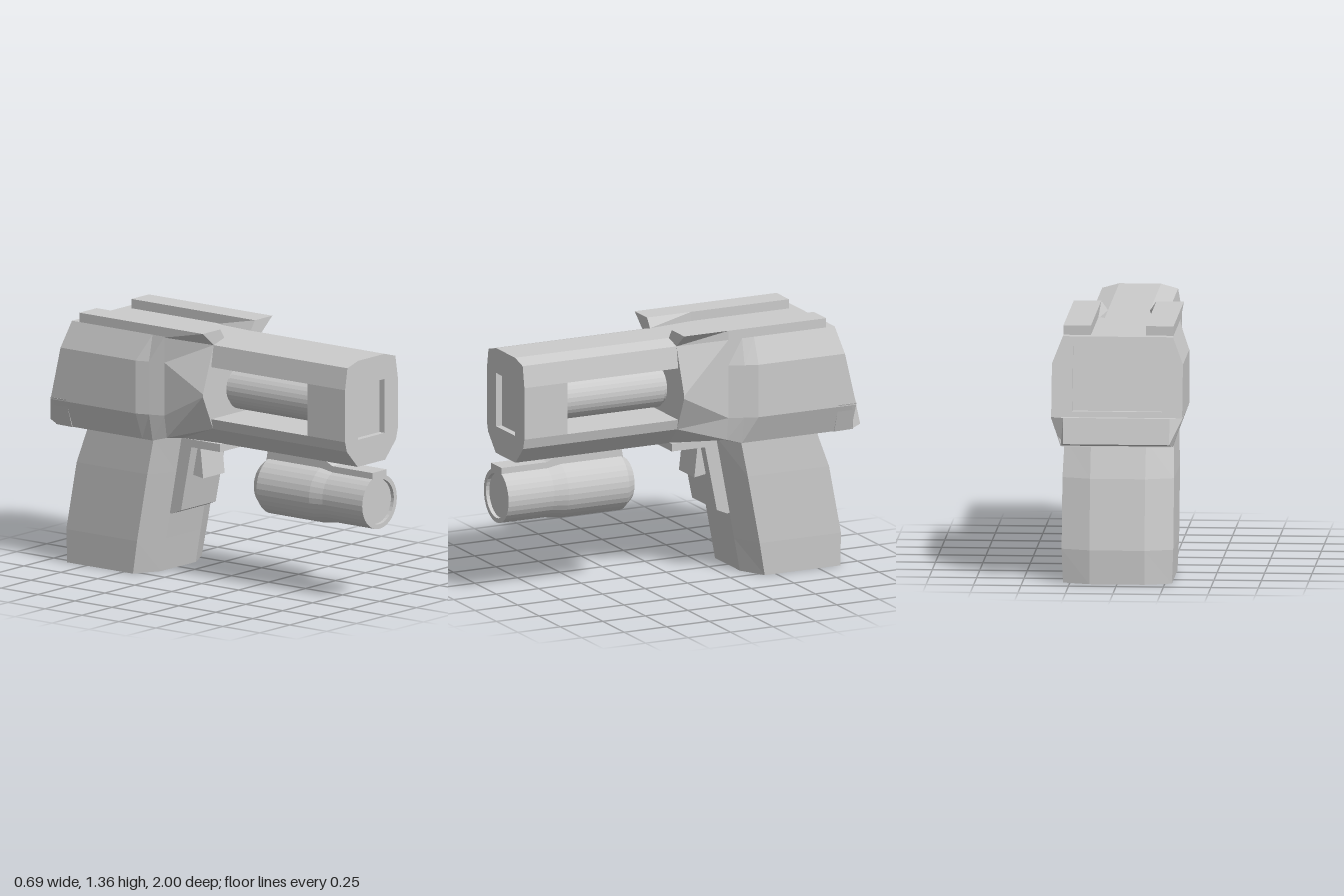
import * as THREE from 'three';

const mat = new THREE.MeshStandardMaterial({ color: 0xcccccc, flatShading: true });

// Skin between closed loops of [x, y, z] points, with both ends capped
function loft(loops) {
  const n = loops[0].length, last = (loops.length - 1) * n, index = [];
  for (let i = 0; i < loops.length - 1; i++) {
    for (let j = 0; j < n; j++) {
      const a = i * n + j, b = i * n + (j + 1) % n;
      index.push(a, a + n, b + n, a, b + n, b);
    }
  }
  for (let k = 1; k < n - 1; k++) {
    index.push(0, k, k + 1, last, last + k + 1, last + k);
  }
  const g = new THREE.BufferGeometry();
  g.setAttribute('position', new THREE.Float32BufferAttribute(loops.flat(2), 3));
  g.setIndex(index);
  const flat = g.toNonIndexed();
  flat.computeVertexNormals();
  return flat;
}

// Complete a +x half outline with its mirror image
const mirror = (half) => [...half, ...half.map(([x, ...r]) => [-x, ...r]).reverse()];
const atZ = (half, z) => mirror(half).map(([x, y]) => [x, y, z]);
const toShape = (pts) => new THREE.Shape(pts.map(([x, y]) => new THREE.Vector2(x, y)));

// Extrude an x/y outline from z0 to z1
function slab(pts, z0, z1, hole) {
  const s = toShape(pts);
  if (hole) s.holes.push(toShape(hole));
  return new THREE.ExtrudeGeometry(s, { depth: z1 - z0, bevelEnabled: false }).translate(0, 0, z0);
}

// Extrude a z/y side profile to a width centred on x = 0
const sideProfile = (pts, width) => slab(pts, -width / 2, width / 2).rotateY(-Math.PI / 2);

// Lathe [radius, z] points around a z axis at height y
const turned = (pts, y) => new THREE.LatheGeometry(pts.map(([r, z]) => new THREE.Vector2(r, z)), 32)
  .rotateX(Math.PI / 2).translate(0, y, 0);

export function createModel() {
  const model = new THREE.Group();
  const add = (name, geometry) => {
    const m = new THREE.Mesh(geometry, mat);
    m.name = name;
    model.add(m);
  };

  // Barrel shroud: solid nose with a square muzzle, open side windows behind it
  const low = [[0.115, 0.735], [0.205, 0.83], [0.22, 0.885]];
  const high = [[0.22, 1.165], [0.2, 1.28], [0.11, 1.305]];
  const outline = mirror([...low, ...high]);
  add('muzzleFrame', slab(outline, 0.91, 0.945, mirror([[0.11, 0.88], [0.11, 1.17]])));
  add('shroudNose', slab(outline, 0.69, 0.91));
  add('shroudBottom', slab(mirror(low), 0.04, 0.69));
  add('shroudTop', slab(mirror(high), 0.04, 0.69));
  add('innerBarrel', turned([[0, 0.03], [0.08, 0.03], [0.08, 0.045], [0.1, 0.045], [0.1, 0.065],
    [0.115, 0.065], [0.115, 0.665], [0.085, 0.665], [0.085, 0.69], [0, 0.69]], 1.025));

  // Rear body, widening behind the windows and ending in a sloped back
  const backZ = (y) => -0.845 - 0.235 * (1.305 - y);
  const body = (x) => [[0.145, 0.735], [0.29, 0.735], [x, 0.88], [x, 1.165], [0.29, 1.305], [0.11, 1.305]];
  add('body', loft([
    atZ([[0.115, 0.735], [0.205, 0.83], [0.29, 1.015], [0.29, 1.03], [0.2, 1.28], [0.11, 1.305]], 0.04),
    atZ([[0.145, 0.735], [0.27, 0.757], [0.29, 0.88], [0.29, 1.165], [0.29, 1.305], [0.11, 1.305]], -0.22),
    atZ(body(0.32), -0.3),
    atZ(body(0.345), -0.37),
    mirror(body(0.345)).map(([x, y]) => [x, y, backZ(y) + 0.025]),
  ]));

  // Raised rim around the sunken back panel, sheared to the slope
  const rim = slab(mirror([[0.345, 0.88], [0.345, 1.165], [0.29, 1.305]]), 0, 0.025,
    mirror([[0.235, 0.92], [0.235, 1.255]]));
  const p = rim.attributes.position;
  for (let i = 0; i < p.count; i++) p.setZ(i, p.getZ(i) + backZ(p.getY(i)));
  rim.computeVertexNormals();
  add('backPanelRim', rim);

  // Overhang above the grip
  add('rearOverhang', loft([
    [[0.295, 0.734, -0.84], [0.347, 0.89, -0.84]],
    [[0.295, 0.736, -0.94], [0.347, 0.89, -0.945]],
    [[0.28, 0.755, -1], [0.28, 0.89, -0.97]],
  ].map(mirror)));

  // Pair of top rails with undercut front ends
  const railEnd = [[0.145, 1.3], [0.29, 1.3], [0.29, 1.355], [0.145, 1.355]];
  const railFront = [[0.11, 1.305], [0.2, 1.28], [0.29, 1.355], [0.145, 1.355]];
  for (const side of [1, -1]) {
    const loops = [[railFront, 0.04], [railEnd, -0.22], [railEnd, -0.795]].map(([pts, z]) => {
      const loop = pts.map(([x, y]) => [side * x, y, z]);
      return side > 0 ? loop : loop.reverse();
    });
    add(side > 0 ? 'leftRail' : 'rightRail', loft(loops));
  }

  // Grip: chamfered sections [y, front z, back z, half width] from top to bottom
  add('grip', loft([
    [0.745, -0.22, -0.79, 0.287], [0.55, -0.257, -0.86, 0.294],
    [0.18, -0.327, -0.93, 0.294], [0, -0.36, -0.93, 0.287],
  ].map(([y, f, b, w]) => mirror([
    [0.145, y, f], [w, y, f - 0.075], [w, y, b + 0.05], [0.145, y, b],
  ]))));

  // Trigger and the block it sits in
  add('triggerBlock', sideProfile([[0.04, 0.737], [0.04, 0.695], [-0.155, 0.695], [-0.225, 0.345],
    [-0.285, 0.32], [-0.34, 0.32], [-0.27, 0.737]], 0.29));
  add('trigger', sideProfile([[-0.14, 0.7], [-0.12, 0.522], [-0.2, 0.535], [-0.2, 0.7]], 0.18));

  // Under-barrel light with sunken lens, and its mount
  add('light', turned([[0, 0.245], [0.118, 0.245], [0.157, 0.295], [0.157, 0.65], [0.145, 0.73],
    [0.145, 1], [0.12, 1], [0.12, 0.98], [0, 0.98]], 0.535));
  add('lightMount', sideProfile([[1, 0.65], [1, 0.7], [0.73, 0.7], [0.65, 0.738], [0.295, 0.738],
    [0.28, 0.65]], 0.12));

  return model;
}
